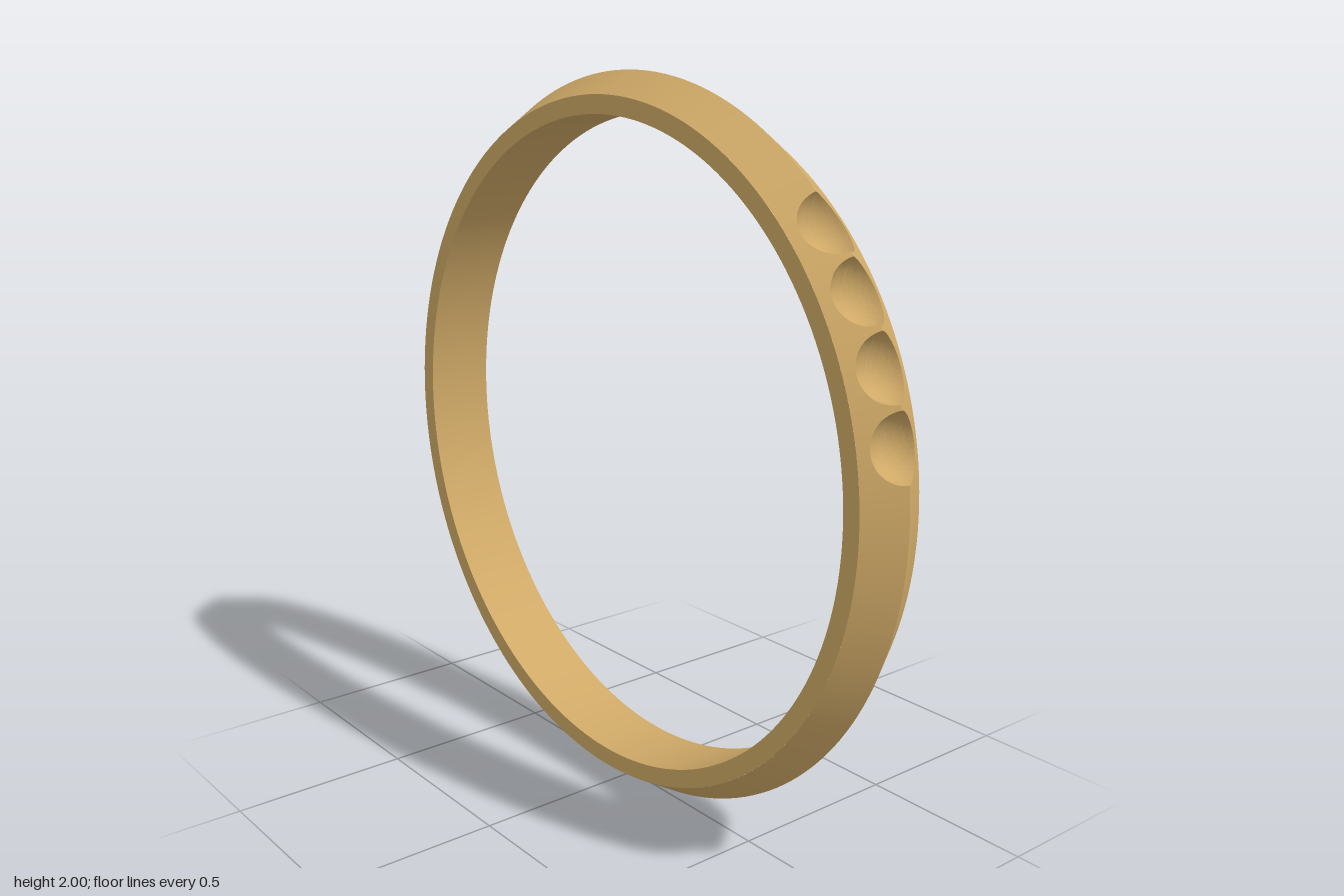
import * as THREE from 'three';
import { mergeGeometries, toCreasedNormals } from 'three/addons/utils/BufferGeometryUtils.js';

const RIDGE = 1, EDGE = 0.94, INNER = 0.89, HALF = 0.1;  // band radii and half width
const SEAT = 0.085;                                      // radius of the round seats
const DEG = Math.PI / 180;
const STEP = 10.5 * DEG, FIRST = 11.3 * DEG, COUNT = 4;  // seat spacing on each shoulder
const START = FIRST - STEP / 2, END = START + COUNT * STEP;

// One straight piece of the band profile swept from angle a0 to a1 (0 = +x, towards +y)
function sweep([r0, z0], [r1, z1], a0 = 0, a1 = Math.PI * 2) {
  const points = [new THREE.Vector2(r0, z0), new THREE.Vector2(r1, z1)];
  const steps = Math.ceil((a1 - a0) / (2 * DEG));
  return new THREE.LatheGeometry(points, steps, a0 + Math.PI / 2, a1 - a0).rotateX(Math.PI / 2);
}

// Point on the ridged outside of the band
function outside(angle, z) {
  const r = RIDGE - (RIDGE - EDGE) * Math.abs(z) / HALF;
  return new THREE.Vector3(r * Math.cos(angle), r * Math.sin(angle), z);
}

// A sector of the outside with a spherical seat cut into it, centred on angle 0
function seatSector() {
  const around = 64, bowlRings = 12, landRings = 4, rings = bowlRings + landRings;
  const centre = new THREE.Vector3(RIDGE, 0, 0);
  const positions = [], index = [];
  const columns = [];
  for (let j = 0; j < around; j++) {
    const a = j / around * Math.PI * 2;
    const scale = 1 / Math.max(Math.abs(Math.cos(a)), Math.abs(Math.sin(a)));
    const u = Math.cos(a) * scale * STEP / 2, v = Math.sin(a) * scale * HALF;
    // Find the rim, where the sphere meets the outside
    let low = 0, high = 1;
    for (let n = 0; n < 40; n++) {
      const mid = (low + high) / 2;
      if (outside(mid * u, mid * v).distanceTo(centre) < SEAT) low = mid; else high = mid;
    }
    const d = outside(low * u, low * v).sub(centre);
    const reach = Math.acos(-d.x / SEAT), side = Math.hypot(d.y, d.z);
    const column = [];
    for (let i = 0; i < bowlRings; i++) {
      const t = reach * i / bowlRings, s = SEAT * Math.sin(t) / side;
      column.push(new THREE.Vector3(RIDGE - SEAT * Math.cos(t), d.y * s, d.z * s));
    }
    for (let i = 0; i <= landRings; i++) {
      const k = low + (1 - low) * i / landRings;
      column.push(outside(k * u, k * v));
    }
    columns.push(column);
  }
  for (const column of columns) for (const p of column) positions.push(p.x, p.y, p.z);
  const id = (i, j) => (j % around) * (rings + 1) + i;
  for (let j = 0; j < around; j++) {
    for (let i = 0; i < rings; i++) {
      index.push(id(i, j), id(i + 1, j), id(i + 1, j + 1));
      if (i > 0) index.push(id(i, j), id(i + 1, j + 1), id(i, j + 1));
    }
  }
  const geometry = new THREE.BufferGeometry();
  geometry.setAttribute('position', new THREE.Float32BufferAttribute(positions, 3));
  geometry.setIndex(index);
  return geometry;
}

export function createModel() {
  const model = new THREE.Group();
  model.name = 'ring';
  const gold = new THREE.MeshStandardMaterial({ color: 0xcfa967 });
  const add = (name, geometry) => {
    const mesh = new THREE.Mesh(geometry, gold);
    mesh.name = name;
    mesh.position.y = RIDGE;
    model.add(mesh);
  };

  // Inner bore and the two flat side faces
  add('innerBore', sweep([INNER, HALF], [INNER, -HALF]));
  add('frontFace', sweep([EDGE, HALF], [INNER, HALF]));
  add('backFace', sweep([INNER, -HALF], [EDGE, -HALF]));

  // Plain ridged outside: short arc over the top, long arc round the bottom
  const ridged = (a0, a1) => mergeGeometries([
    sweep([EDGE, -HALF], [RIDGE, 0], a0, a1),
    sweep([RIDGE, 0], [EDGE, HALF], a0, a1),
  ]);
  add('topOutside', ridged(END, Math.PI - END));
  add('bottomOutside', ridged(Math.PI - START, Math.PI * 2 + START));

  // Shoulders with a row of four round seats each
  for (const left of [true, false]) {
    const sectors = [];
    for (let i = 0; i < COUNT; i++) {
      const angle = FIRST + i * STEP;
      sectors.push(seatSector().rotateZ(left ? angle : Math.PI - angle));
    }
    add(left ? 'leftShoulderSeats' : 'rightShoulderSeats',
      toCreasedNormals(mergeGeometries(sectors), 25 * DEG));
  }
  return model;
}
